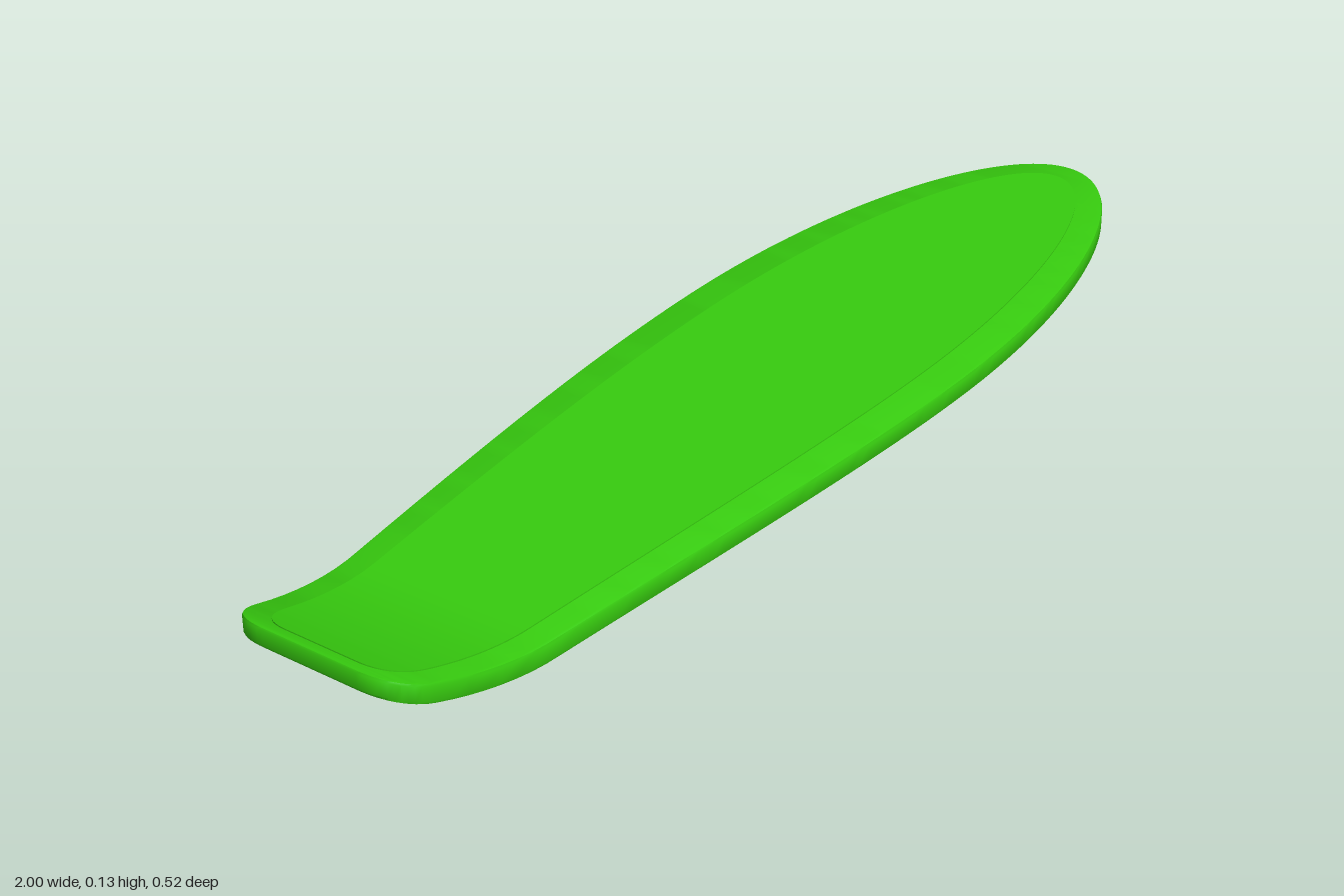
import * as THREE from 'three';
import { toCreasedNormals } from 'three/addons/utils/BufferGeometryUtils.js';

const V = (x, z) => new THREE.Vector2(x, z);

// Half outline from the square tail (-x) round to the tip of the nose (+x)
function halfOutline() {
  const curves = [
    [new THREE.CubicBezierCurve(V(-1, 0.085), V(-1, 0.125), V(-0.98, 0.158), V(-0.93, 0.163)), 12],
    [new THREE.CubicBezierCurve(V(-0.93, 0.163), V(-0.5, 0.208), V(-0.1, 0.262), V(0.23, 0.262)), 44],
    [new THREE.CubicBezierCurve(V(0.23, 0.262), V(0.65, 0.262), V(1, 0.14), V(1, 0)), 40],
  ];
  const out = [];
  curves.forEach(([curve, n], k) => {
    for (let i = k ? 1 : 0; i <= n; i++) {
      const p = curve.getPoint(i / n), t = curve.getTangent(i / n);
      out.push({ p, n: V(-t.y, t.x) });
    }
  });
  return out;
}

// Height of the deck's top: slight camber, with the tail kicked up
function topHeight(x) {
  const kick = Math.max(0, (-0.72 - x) / 0.28);
  return 0.07 - (x < 0 ? 0.017 : 0.005) * x * x + 0.08 * Math.pow(kick, 1.7);
}

// Closed slab: stacked outline loops, capped by strips running across the board
function slab(layers) {
  const positions = [], index = [];
  const n = layers[0].half.length, count = 2 * n - 1;
  for (const { half, dy } of layers) {
    for (let i = 0; i < count; i++) {
      const p = half[i < n ? i : count - 1 - i];
      positions.push(p.x, topHeight(p.x) + dy, i < n ? p.y : -p.y);
    }
  }
  for (let l = 0; l < layers.length - 1; l++) {
    for (let i = 0; i < count; i++) {
      const a = l * count + i, b = l * count + (i + 1) % count;
      index.push(a, b, b + count, a, b + count, a + count);
    }
  }
  const top = (layers.length - 1) * count;
  for (let i = 0; i < n - 1; i++) {
    const j = i + 1, mi = count - 1 - i, mj = count - 1 - j;
    index.push(top + i, top + j, top + mi, mi, j, i);
    if (j < n - 1) index.push(top + j, top + mj, top + mi, mi, mj, j);
  }
  const geometry = new THREE.BufferGeometry();
  geometry.setAttribute('position', new THREE.Float32BufferAttribute(positions, 3));
  geometry.setIndex(index);
  return toCreasedNormals(geometry, 0.6);
}

export function createModel() {
  const model = new THREE.Group();
  model.name = 'skateboardDeck';
  const green = new THREE.MeshStandardMaterial({ color: 0x37cc0f });
  const dark = new THREE.MeshStandardMaterial({ color: 0x333333 });
  const add = (name, geometry, material, parent = model) => {
    const mesh = new THREE.Mesh(geometry, material);
    mesh.name = name;
    parent.add(mesh);
    return mesh;
  };

  // Deck with softened upper and lower edges
  const outline = halfOutline();
  const inset = (d) => outline.map(({ p, n }) => V(p.x - n.x * d, Math.max(0, p.y - n.y * d)));
  add('deck', slab([
    { half: inset(0.006), dy: -0.036 },
    { half: inset(0.0015), dy: -0.0345 },
    { half: inset(0), dy: -0.031 },
    { half: inset(0), dy: -0.006 },
    { half: inset(0.0015), dy: -0.0025 },
    { half: inset(0.005), dy: -0.001 },
  ]), green);

  // Thin raised standing surface inside the rim
  const inner = outline.map(({ p }) => V(p.x * 0.9625 - 0.0125, p.y * 0.77));
  add('gripSurface', slab([
    { half: inner, dy: -0.005 },
    { half: inner, dy: 0.001 },
  ]), green);

  // Stepped mounting plates under tail and nose
  for (const [name, x] of [['tailMount', -0.71], ['noseMount', 0.77]]) {
    const mount = new THREE.Group();
    mount.name = name;
    mount.position.x = x;
    model.add(mount);
    add('mountPlate', new THREE.BoxGeometry(0.184, 0.022, 0.184), dark, mount).position.y = 0.021;
    add('mountPad', new THREE.BoxGeometry(0.106, 0.012, 0.106), dark, mount).position.y = 0.006;
  }
  return model;
}
